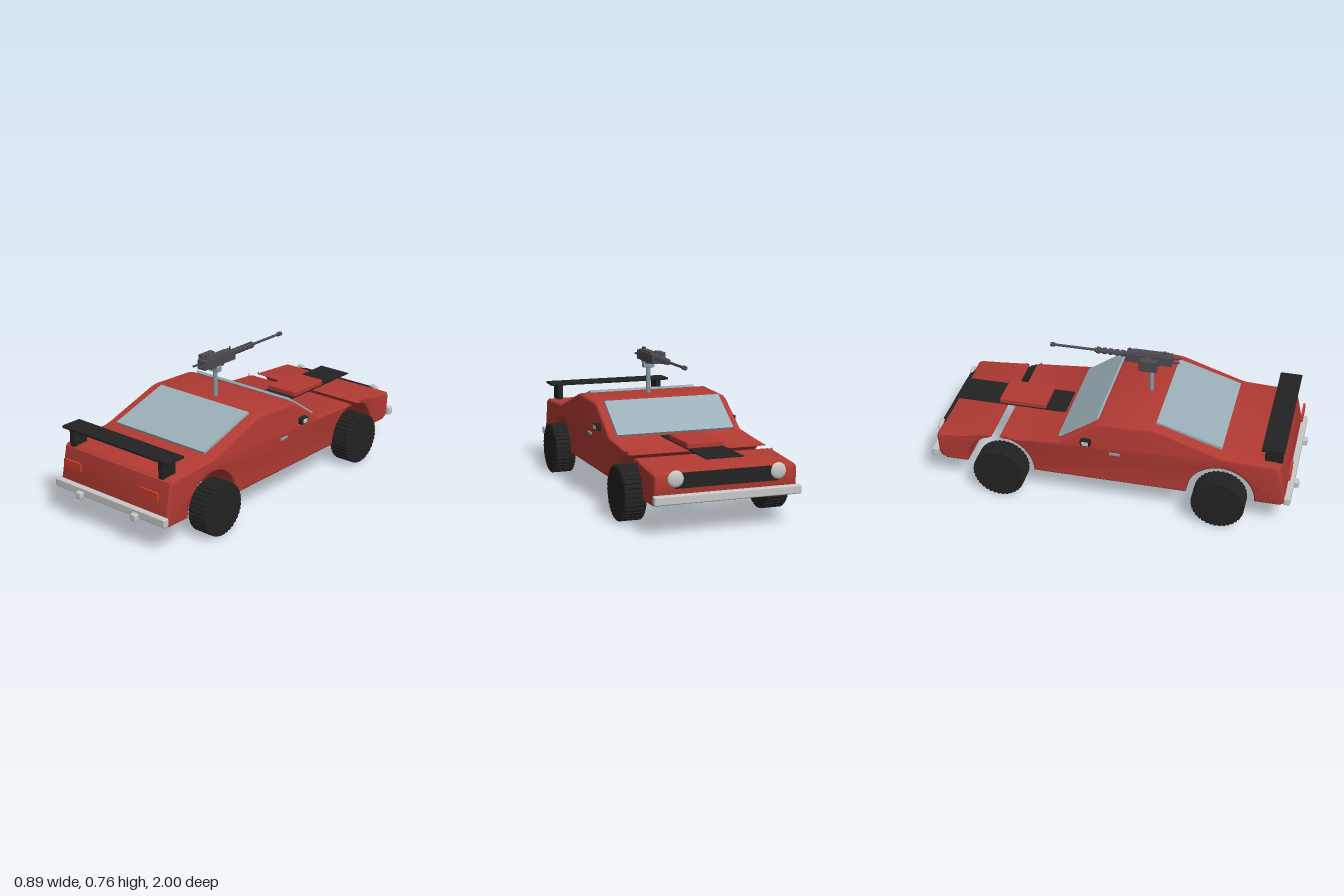
import * as THREE from 'three';
import { toCreasedNormals } from 'three/addons/utils/BufferGeometryUtils.js';
import { RoundedBoxGeometry } from 'three/addons/geometries/RoundedBoxGeometry.js';

const mat = (name, color) => Object.assign(new THREE.MeshStandardMaterial({ color }), { name });

export function createModel() {
  const car = new THREE.Group();
  car.name = 'armedCar';
  const red = mat('bodyRed', 0xb23a33);
  const black = mat('rubberBlack', 0x222222);
  const chrome = mat('chrome', 0xc8c8c8);
  const glass = mat('glass', 0x9bafb8);
  const lamp = mat('tailRed', 0xc83a2c);
  const gunmetal = mat('gunmetal', 0x4c4a50);
  const steel = mat('mountSteel', 0x8799a3);

  const add = (name, geo, material, x = 0, y = 0, z = 0, parent = car) => {
    const m = new THREE.Mesh(geo, material);
    m.name = name;
    m.position.set(x, y, z);
    parent.add(m);
    return m;
  };
  // Box given by its extents on each axis
  const box = (name, material, [x0, x1], [y0, y1], [z0, z1], round = 0, parent = car) => {
    const s = [x1 - x0, y1 - y0, z1 - z0];
    const geo = round ? new RoundedBoxGeometry(...s, 2, round) : new THREE.BoxGeometry(...s);
    return add(name, geo, material, (x0 + x1) / 2, (y0 + y1) / 2, (z0 + z1) / 2, parent);
  };
  // Extrudes a side outline (forward, up) across the car's width
  const extrudeAcross = (points, x0, x1, bevel, segments) => {
    const geo = new THREE.ExtrudeGeometry(new THREE.Shape(points), {
      depth: x1 - x0 - 2 * bevel, bevelThickness: bevel, bevelSize: bevel,
      bevelOffset: -bevel, bevelSegments: segments,
    });
    geo.translate(0, 0, x0 + bevel);
    geo.rotateY(Math.PI / 2);
    return geo;
  };
  const v = (x, y) => new THREE.Vector2(x, y);
  const arch = (cx, r, from, to, n) => Array.from({ length: n + 1 }, (_, i) => {
    const a = from + (to - from) * i / n;
    return v(cx + r * Math.cos(a), 0.145 + r * Math.sin(a));
  });

  // Body shell: the front arches cut right through the bonnet, leaving a separate nose
  const main = [
    v(-0.92, 0.145), ...arch(-0.6, 0.183, Math.PI, 0, 24),
    ...arch(0.61, 0.188, Math.PI, Math.PI / 2, 12),
    v(0.28, 0.367), v(0.265, 0.375), v(0.075, 0.505), v(0.05, 0.513),
    v(-0.22, 0.523), v(-0.26, 0.516), v(-0.58, 0.41), v(-0.62, 0.401),
    v(-0.89, 0.389), v(-0.907, 0.375), v(-0.948, 0.185), v(-0.943, 0.16),
  ];
  const nose = [
    ...arch(0.61, 0.188, 1.33, 0, 12), v(0.92, 0.145), v(0.95, 0.16),
    v(0.96, 0.185), v(0.968, 0.285), v(0.962, 0.304), v(0.94, 0.311),
  ];
  add('bodyShell', toCreasedNormals(extrudeAcross(main, -0.377, 0.377, 0.018, 3), 0.5), red);
  add('noseShell', toCreasedNormals(extrudeAcross(nose, -0.377, 0.377, 0.018, 3), 0.5), red);

  // Wheels with notched tread
  const tread = [];
  for (let i = 0; i < 36; i++) {
    for (const [f, r] of [[0, 0.143], [0.55, 0.143], [0.65, 0.138], [0.9, 0.138]]) {
      const a = (i + f) / 36 * Math.PI * 2;
      tread.push(v(r * Math.cos(a), r * Math.sin(a)));
    }
  }
  const wheelGeo = extrudeAcross(tread, -0.058, 0.058, 0.005, 1);
  for (const sx of [-1, 1]) for (const z of [-0.6, 0.6])
    add(z < 0 ? 'frontWheel' : 'rearWheel', wheelGeo, black, sx * 0.388, 0.146, z);

  // Sloped window panes between two side points (z, y)
  const pane = (name, width, [z0, y0], [z1, y1]) => {
    const len = Math.hypot(z1 - z0, y1 - y0);
    const m = add(name, new THREE.BoxGeometry(width, 0.014, len), glass, 0, (y0 + y1) / 2, (z0 + z1) / 2);
    m.rotation.x = -Math.atan2(y1 - y0, z1 - z0);
  };
  pane('windshield', 0.66, [-0.285, 0.37], [-0.07, 0.518]);
  pane('rearWindow', 0.62, [0.24, 0.526], [0.592, 0.416]);

  // Bonnet stripe and scoop
  box('bonnetStripe', black, [-0.1, 0.1], [0.36, 0.364], [-0.945, -0.29]);
  box('bonnetScoop', red, [-0.098, 0.098], [0.36, 0.394], [-0.69, -0.425], 0.008);

  // Spoiler
  box('spoilerWing', black, [-0.37, 0.37], [0.477, 0.491], [0.805, 0.925], 0.003);

  // Bumpers, grille and lights
  box('rearBumper', chrome, [-0.387, 0.387], [0.163, 0.208], [0.94, 0.975], 0.007);
  box('frontBumper', chrome, [-0.387, 0.387], [0.163, 0.208], [-1, -0.963], 0.007);
  box('grille', black, [-0.27, 0.27], [0.235, 0.308], [-0.975, -0.955]);
  const lens = new THREE.SphereGeometry(0.042, 24, 16).scale(1, 1, 0.35);

  // Mirrored fittings
  const span = (s, a, b) => (s > 0 ? [a, b] : [-b, -a]);
  for (const s of [-1, 1]) {
    box('spoilerPost', black, span(s, 0.296, 0.327), [0.385, 0.478], [0.82, 0.915], 0.004);
    box('bumperGuard', chrome, span(s, 0.175, 0.214), [0.152, 0.19], [0.955, 1], 0.008);
    box('tailLight', lamp, span(s, 0.21, 0.33), [0.285, 0.33], [0.948, 0.96]);
    add('headlight', lens, chrome, s * 0.27, 0.283, -0.972);
    box('mirrorHousing', black, span(s, 0.37, 0.404), [0.376, 0.413], [-0.152, -0.097], 0.005);
    box('mirrorPlate', chrome, span(s, 0.402, 0.406), [0.383, 0.406], [-0.142, -0.107]);
    box('doorHandle', steel, span(s, 0.373, 0.386), [0.33, 0.341], [0.002, 0.06]);
  }

  // Roof gun on its post
  const gun = new THREE.Group();
  gun.name = 'roofGun';
  car.add(gun);
  add('gunPost', new THREE.CylinderGeometry(0.013, 0.013, 0.16, 20), steel, 0, 0.59, 0.148, gun);
  box('gunMount', steel, [-0.032, 0.032], [0.66, 0.692], [0.13, 0.166], 0.004, gun);
  box('gunCradle', gunmetal, [-0.022, 0.022], [0.685, 0.7], [0.1, 0.195], 0, gun);
  box('gunReceiver', gunmetal, [-0.028, 0.028], [0.696, 0.748], [0.01, 0.26], 0.003, gun);
  box('receiverCover', gunmetal, [-0.02, 0.02], [0.745, 0.754], [0.05, 0.235], 0, gun);
  box('rearSight', gunmetal, [-0.008, 0.008], [0.75, 0.766], [0.205, 0.225], 0, gun);
  box('frontSight', gunmetal, [-0.003, 0.003], [0.745, 0.768], [0.025, 0.033], 0, gun);
  box('ammoBox', gunmetal, [-0.083, -0.051], [0.681, 0.746], [0.093, 0.19], 0.003, gun);
  box('ammoFeed', gunmetal, [-0.052, -0.026], [0.727, 0.744], [0.125, 0.15], 0, gun);
  const tube = (name, r, z0, z1, y = 0.728, x = 0) => add(name,
    new THREE.CylinderGeometry(r, r, z1 - z0, 16).rotateX(Math.PI / 2), gunmetal, x, y, (z0 + z1) / 2, gun);
  tube('barrelJacket', 0.013, -0.165, 0.012);
  for (let i = 0; i < 5; i++) tube('jacketRing', 0.018, -0.155 + i * 0.034, -0.137 + i * 0.034);
  tube('barrel', 0.007, -0.4, -0.16);
  tube('muzzle', 0.012, -0.412, -0.388);
  for (const s of [-1, 1]) tube('gunGrip', 0.006, 0.255, 0.3, 0.722, s * 0.02);

  return car;
}
